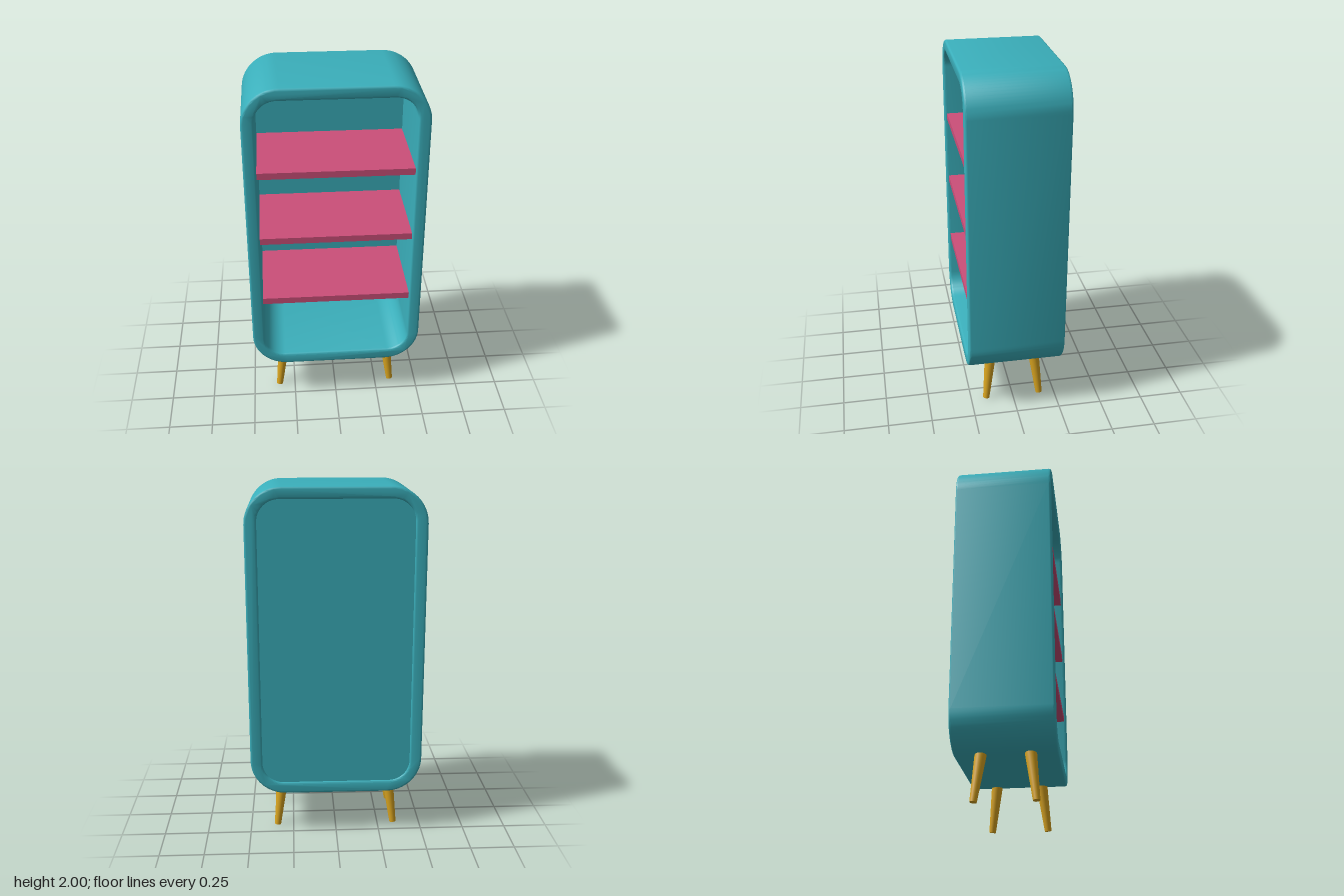
import * as THREE from 'three';
import { toCreasedNormals } from 'three/addons/utils/BufferGeometryUtils.js';

const material = (name, color) => {
  const m = new THREE.MeshStandardMaterial({ color });
  m.name = name;
  return m;
};

// Rounded rectangle outline, as a Shape or a Path
function roundedRect(path, halfWidth, bottom, top, r) {
  const x = halfWidth - r, b = bottom + r, t = top - r;
  path.moveTo(-x, bottom);
  path.absarc(x, b, r, -Math.PI / 2, 0);
  path.absarc(x, t, r, 0, Math.PI / 2);
  path.absarc(-x, t, r, Math.PI / 2, Math.PI);
  path.absarc(-x, b, r, Math.PI, Math.PI * 1.5);
  return path;
}

export function createModel() {
  const teal = material('teal', 0x3aafbb);
  const pink = material('pink', 0xcb4f79);
  const gold = material('gold', 0xdaa520);

  const group = new THREE.Group();
  group.name = 'bookcase';
  const add = (name, geometry, mat) => {
    const mesh = new THREE.Mesh(geometry, mat);
    mesh.name = name;
    group.add(mesh);
    return mesh;
  };

  // Hollow case with softened rims
  const halfDepth = 0.274, bevel = 0.012;
  const outline = roundedRect(new THREE.Shape(), 0.49, 0.255, 2, 0.2);
  outline.holes.push(roundedRect(new THREE.Path(), 0.422, 0.323, 1.934, 0.12));
  const frame = new THREE.ExtrudeGeometry(outline, {
    depth: 2 * (halfDepth - bevel), curveSegments: 8,
    bevelThickness: bevel, bevelSize: bevel, bevelOffset: -bevel, bevelSegments: 3,
  });
  frame.translate(0, 0, -halfDepth + bevel);
  add('frame', toCreasedNormals(frame, 0.7), teal);

  // Back panel, just inside the rear rim
  const back = new THREE.ExtrudeGeometry(
    roundedRect(new THREE.Shape(), 0.424, 0.321, 1.936, 0.12),
    { depth: 0.015, curveSegments: 8, bevelEnabled: false });
  add('backPanel', back, teal).position.z = -0.264;

  // Shelves
  for (const y of [0.708, 1.109, 1.511]) {
    add('shelf', new THREE.BoxGeometry(0.842, 0.037, 0.512), pink).position.set(0, y, 0.006);
  }

  // Tapered legs, splayed outward
  const up = new THREE.Vector3(0, 1, 0);
  for (const sx of [-1, 1]) {
    for (const sz of [-1, 1]) {
      const foot = new THREE.Vector3(0.344 * sx, 0.004, 0.16 * sz);
      const hip = new THREE.Vector3(0.313 * sx, 0.265, 0.13 * sz);
      const dir = hip.clone().sub(foot);
      const leg = add('leg', new THREE.CylinderGeometry(0.032, 0.019, dir.length(), 20), gold);
      leg.position.copy(foot).add(hip).multiplyScalar(0.5);
      leg.quaternion.setFromUnitVectors(up, dir.normalize());
    }
  }
  return group;
}
